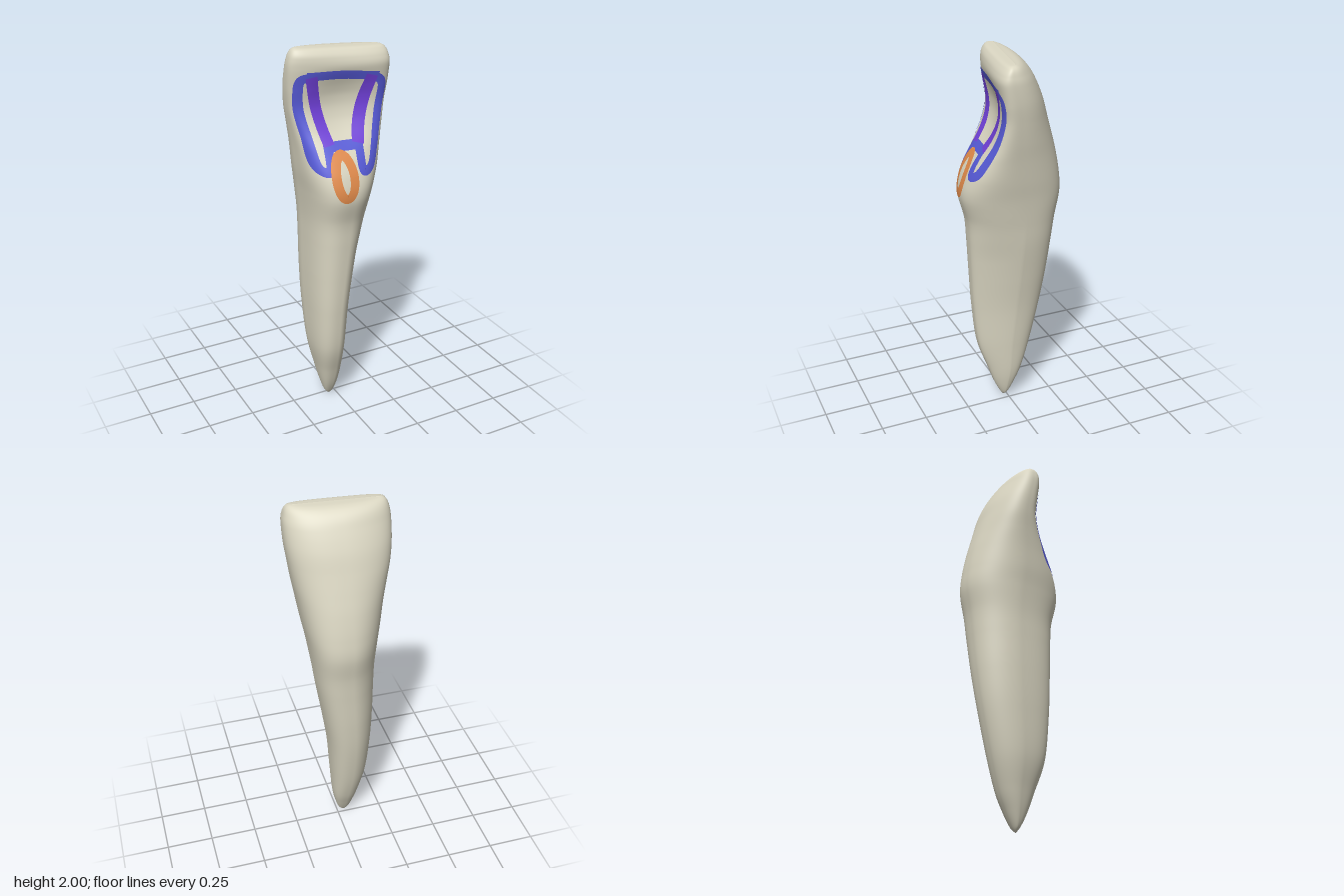
import * as THREE from 'three';

const { lerp, smoothstep } = THREE.MathUtils;

// Tooth outline from root tip to biting edge: y, x right, x left, z front, z back
const ROWS = [
  [0, -0.04, -0.04, 0.02, 0.02], [0.03, -0.067, -0.01, 0.04, 0],
  [0.1, -0.092, 0.015, 0.073, -0.035], [0.2, -0.117, 0.035, 0.108, -0.078],
  [0.37, -0.153, 0.05, 0.162, -0.13], [0.6, -0.168, 0.07, 0.188, -0.18],
  [0.8, -0.173, 0.1, 0.202, -0.208], [1, -0.174, 0.133, 0.215, -0.225],
  [1.13, -0.177, 0.15, 0.226, -0.237], [1.27, -0.19, 0.17, 0.259, -0.259],
  [1.38, -0.205, 0.19, 0.24, -0.252], [1.5, -0.217, 0.21, 0.18, -0.23],
  [1.6, -0.23, 0.228, 0.13, -0.204], [1.7, -0.245, 0.243, 0.1, -0.175],
  [1.8, -0.255, 0.255, 0.104, -0.144], [1.9, -0.257, 0.257, 0.114, -0.1],
  [1.95, -0.25, 0.25, 0.108, -0.073], [1.98, -0.238, 0.24, 0.092, -0.045],
  [1.995, -0.222, 0.224, 0.072, -0.015], [2, -0.2, 0.2, 0.03, 0.03],
];
const spline = (a, b) => new THREE.CatmullRomCurve3(
  ROWS.map((r) => new THREE.Vector3(r[a], r[b], r[0])), false, 'catmullrom', 0.5);
const xCurve = spline(1, 2);
const zCurve = spline(3, 4);

// Cross-section parameters at curve position t
function sectionAt(t) {
  const px = xCurve.getPoint(t);
  const pz = zCurve.getPoint(t);
  const y = px.z;
  const crown = smoothstep(y, 1.2, 1.72);
  return {
    y, cx: (px.x + px.y) / 2, hx: (px.y - px.x) / 2, zf: pz.x, zb: pz.y,
    zm: lerp(pz.y, pz.x, lerp(0.45, 0.62, crown)),
    crown,
    shear: 0.14 * crown,
    flare: 0.3 * (1 - smoothstep(y, 1.9, 1.995)),
    dip: 0.03 * smoothstep(y, 1.45, 1.65) * (1 - smoothstep(y, 1.75, 1.92)),
    root: 1 - smoothstep(y, 0.9, 1.24),
  };
}

// Squareness of each quarter of a section: front right and back left are fuller
function squareness(s, u, v) {
  if (v > 0) return u > 0 ? lerp(2.05, 3.4, s.crown) : lerp(3, 3.8, s.crown);
  return u > 0 ? lerp(2.9, 2.4, s.crown) : lerp(1.85, 2.05, s.crown);
}

// Depth at section coordinates u (across) and v (front to back):
// the crown is twisted, and its inner face is hollowed
function depthAt(s, u, v) {
  const twist = s.shear * (1 + s.flare * v) * u * s.hx;
  if (v < 0) return s.zm + (s.zm - s.zb) * v + twist;
  return s.zm + (s.zf - s.zm) * v + twist - s.dip * Math.max(0, 1 - u * u) ** 2;
}

function surfacePoint(s, angle) {
  const c = Math.cos(angle);
  const d = Math.sin(angle);
  const n = squareness(s, c, d);
  const r = (Math.abs(c) ** n + Math.abs(d) ** n) ** (-1 / n);
  const u = r * c;
  const v = r * d;
  let x = u * s.hx;
  // the root narrows to the front on its left side
  if (u > 0 && v > 0) x *= 1 - 0.28 * s.root * v;
  const tilt = 0.013 * ((x + 0.2) / 0.4) * smoothstep(s.y, 1.85, 2);
  return [s.cx + x, s.y - tilt, depthAt(s, u, v)];
}

// Point on the inner crown face, lifted slightly off it
function facePoint(x, y, lift) {
  let lo = 0;
  let hi = 1;
  for (let i = 0; i < 24; i++) {
    const mid = (lo + hi) / 2;
    if (xCurve.getPoint(mid).z < y) lo = mid; else hi = mid;
  }
  const s = sectionAt(lo);
  const u = THREE.MathUtils.clamp((x - s.cx) / s.hx, -0.98, 0.98);
  const n = squareness(s, u, 1);
  const v = (1 - Math.abs(u) ** n) ** (1 / n);
  return [s.cx + u * s.hx + lift * u ** 3, y, depthAt(s, u, v) + lift];
}

// Smooth grid surface from rows of points
function gridGeometry(rows, wrap) {
  const w = rows[0].length;
  const index = [];
  for (let i = 0; i < rows.length - 1; i++) {
    for (let j = 0; j < (wrap ? w : w - 1); j++) {
      const k = (j + 1) % w;
      const a = i * w + j, b = i * w + k, c = a + w, d = b + w;
      index.push(a, c, b, b, c, d);
    }
  }
  const geo = new THREE.BufferGeometry();
  geo.setAttribute('position', new THREE.Float32BufferAttribute(rows.flat(2), 3));
  geo.setIndex(index);
  geo.computeVertexNormals();
  return geo;
}

function toothGeometry() {
  const rings = 228;
  const sides = 128;
  const rows = [];
  for (let i = 0; i < rings; i++) {
    const s = sectionAt(i / rings);
    rows.push(Array.from({ length: sides }, (_, j) => surfacePoint(s, (j / sides) * Math.PI * 2)));
  }
  // the last ring folds onto a single line, so front and back meet exactly
  const top = sectionAt(1);
  rows.push(Array.from({ length: sides }, (_, j) => {
    const mirrored = Math.min(j, sides - j);
    const u = Math.cos((mirrored / sides) * Math.PI * 2);
    return [top.cx + u * top.hx, top.y - 0.0065 * (1 + u), top.zm + top.shear * u * top.hx];
  }));
  return gridGeometry(rows, true);
}

// Painted stripe that follows a path over the inner crown face
function stripeGeometry(points, width, lift, closed = false) {
  const path = new THREE.CatmullRomCurve3(
    points.map(([x, y]) => new THREE.Vector3(x, y, 0)), closed, 'centripetal');
  const steps = 80;
  const across = 8;
  const rows = [];
  for (let i = 0; i <= steps; i++) {
    const p = path.getPoint(i / steps);
    const d = path.getTangent(i / steps);
    const row = [];
    for (let j = 0; j <= across; j++) {
      const o = (j / across - 0.5) * width;
      row.push(facePoint(p.x - d.y * o, p.y + d.x * o, lift));
    }
    rows.push(row);
  }
  return gridGeometry(rows, false);
}

export function createModel() {
  const material = (name, color) => {
    const m = new THREE.MeshStandardMaterial({ color });
    m.name = name;
    return m;
  };
  const ivory = material('ivory', 0xdad6c2);
  const blue = material('blue', 0x565ad6);
  const purple = material('purple', 0x7040d8);
  const orange = material('orange', 0xe08a4a);

  const group = new THREE.Group();
  group.name = 'incisorTooth';
  const add = (name, geo, mat) => {
    const mesh = new THREE.Mesh(geo, mat);
    mesh.name = name;
    group.add(mesh);
  };

  add('tooth', toothGeometry(), ivory);

  // Blue outlines of the two side ridges, the edge and the hollow's floor
  const blueStripes = {
    rightRidgeOutline: [[-0.16, 1.86], [-0.205, 1.848], [-0.214, 1.74], [-0.192, 1.58],
      [-0.165, 1.43], [-0.125, 1.417], [-0.105, 1.54]],
    leftRidgeOutline: [[0.16, 1.842], [0.198, 1.81], [0.181, 1.66], [0.134, 1.5],
      [0.09, 1.415], [0.05, 1.405], [0.052, 1.54]],
    edgeBand: [[-0.18, 1.864], [0, 1.862], [0.18, 1.842]],
    floorBand: [[-0.11, 1.525], [0.05, 1.525]],
  };
  for (const [name, pts] of Object.entries(blueStripes)) {
    add(name, stripeGeometry(pts, 0.044, 0.0025), blue);
  }

  // Purple sides of the central hollow
  add('rightHollowSide', stripeGeometry([[-0.157, 1.86], [-0.098, 1.53]], 0.056, 0.004), purple);
  add('leftHollowSide', stripeGeometry([[0.145, 1.85], [0.05, 1.53]], 0.06, 0.004), purple);

  // Orange ring around the bulge at the base of the crown
  const oval = Array.from({ length: 16 }, (_, i) => {
    const a = (i / 16) * Math.PI * 2;
    return [-0.055 + 0.045 * Math.cos(a), 1.385 + 0.103 * Math.sin(a)];
  });
  add('bulgeRing', stripeGeometry(oval, 0.046, 0.003, true), orange);

  return group;
}
